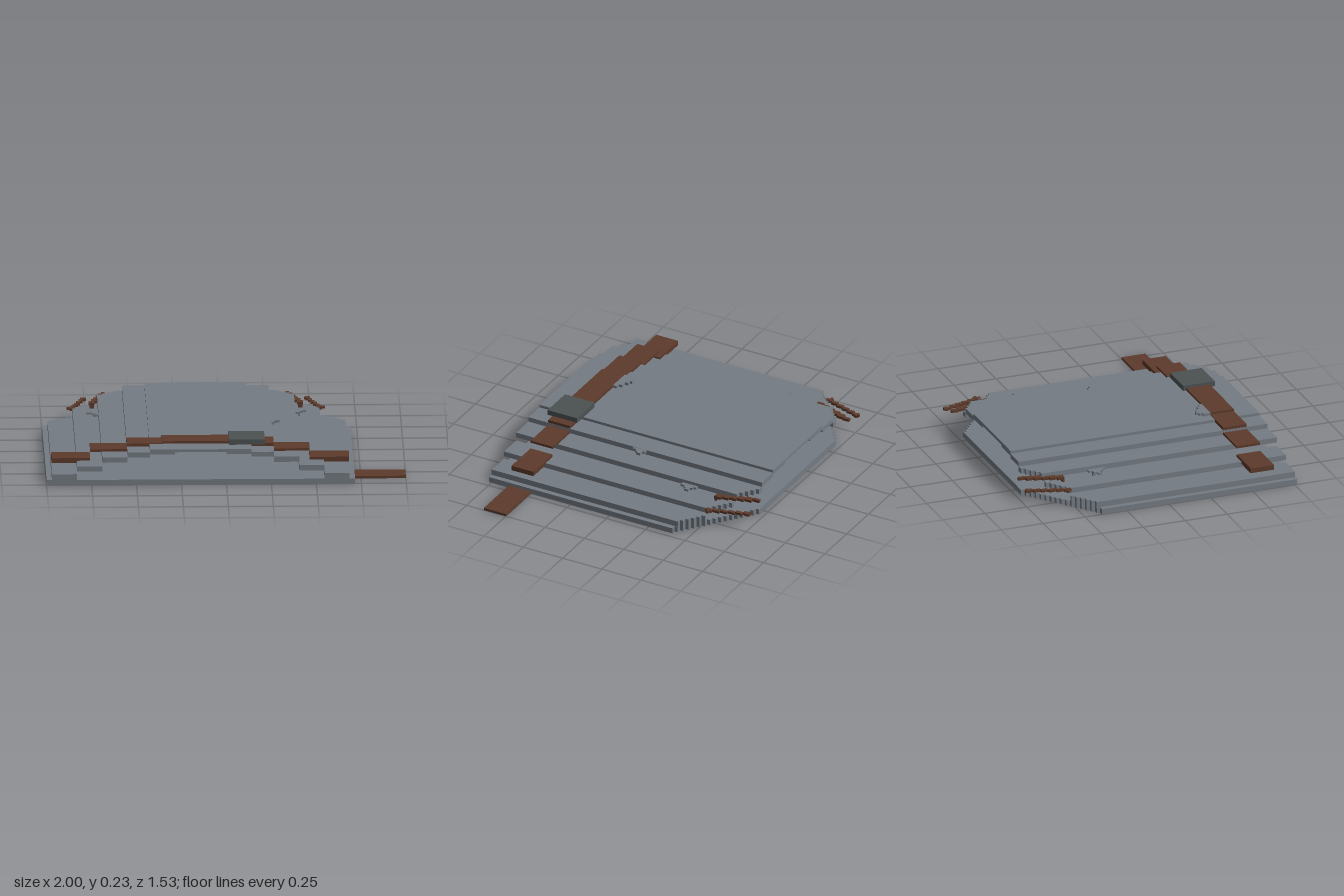
import * as THREE from 'three';

const CX = -0.1425, HALF = 0.8575, FRONT = 0.765;
const STEP_X = 0.026, STEP_Z = 0.02, STEPS = 16;

export function createModel() {
  const model = new THREE.Group();
  const steel = new THREE.MeshStandardMaterial({ name: 'steel grey', color: 0x747b83 });
  const leather = new THREE.MeshStandardMaterial({ name: 'brown leather', color: 0x5c3a2b });
  const iron = new THREE.MeshStandardMaterial({ name: 'dark iron', color: 0x4c5252 });

  const add = (name, geometry, material, parent = model) => {
    const mesh = new THREE.Mesh(geometry, material);
    mesh.name = name;
    parent.add(mesh);
  };
  // Box given by its limits on each axis
  const box = (name, x0, x1, y0, y1, z0, z1, material, parent) => {
    const g = new THREE.BoxGeometry(x1 - x0, y1 - y0, z1 - z0);
    g.translate((x0 + x1) / 2, (y0 + y1) / 2, (z0 + z1) / 2);
    add(name, g, material, parent);
  };
  const mirrorX = (x) => 2 * CX - x;

  // Plate whose back edge follows the stair-stepped corner cuts
  const backDepth = (x) => {
    const k = Math.floor((HALF - Math.abs(x - CX)) / STEP_X);
    return 0.4 + STEP_Z * Math.min(k, STEPS);
  };
  const plate = (name, x0, x1, y0, y1) => {
    const cuts = [x0, x1];
    for (let k = 1; k <= STEPS; k++) {
      for (const x of [CX - HALF + k * STEP_X, CX + HALF - k * STEP_X]) {
        if (x > x0 + 0.002 && x < x1 - 0.002) cuts.push(x);
      }
    }
    cuts.sort((a, b) => a - b);
    const shape = new THREE.Shape();
    shape.moveTo(x1, -FRONT);
    for (let i = cuts.length - 1; i > 0; i--) {
      const d = backDepth((cuts[i] + cuts[i - 1]) / 2);
      shape.lineTo(cuts[i], d);
      shape.lineTo(cuts[i - 1], d);
    }
    shape.lineTo(x0, -FRONT);
    shape.closePath();
    const g = new THREE.ExtrudeGeometry(shape, { depth: y1 - y0, bevelEnabled: false });
    g.rotateX(-Math.PI / 2);
    g.translate(0, y0, 0);
    add(name, g, steel);
  };

  // Layered plates: base, mirrored side steps, and crown
  plate('basePlate', CX - HALF, CX + HALF, 0, 0.032);
  const sideSteps = [
    ['sideRail', -0.97, -0.83, 0.032, 0.065],
    ['lowerPlate', -0.83, -0.69, 0.08, 0.11],
    ['middlePlate', -0.69, -0.55, 0.13, 0.16],
    ['upperPlate', -0.55, -0.425, 0.16, 0.188],
    ['crownSupport', -0.425, -0.285, 0.175, 0.188],
  ];
  for (const [name, x0, x1, y0, y1] of sideSteps) {
    plate(name + 'Right', x0, x1, y0, y1);
    plate(name + 'Left', mirrorX(x1), mirrorX(x0), y0, y1);
  }
  plate('crownPlate', -0.425, 0.14, 0.188, 0.204);

  // Strap segments stepping over the plates
  const strap = new THREE.Group();
  strap.name = 'strap';
  model.add(strap);
  const segments = [
    [-0.97, -0.755, 0.097, 0.125], [-0.755, -0.55, 0.161, 0.175],
    [-0.55, -0.35, 0.189, 0.206], [-0.355, 0.02, 0.205, 0.219],
    [0.14, 0.265, 0.189, 0.206], [0.265, 0.465, 0.161, 0.175],
    [0.465, 0.685, 0.097, 0.125], [0.715, 1, 0, 0.014],
  ];
  for (const [x0, x1, y0, y1] of segments) {
    box('strapSegment', x0, x1, y0, y1, 0.5, 0.64, leather, strap);
  }
  box('buckle', 0.015, 0.215, 0.205, 0.235, 0.483, 0.671, iron);

  // Jagged dent flakes, made of short rows: [x0, x1, z0, z1]
  const flake = (name, y0, y1, rows) => {
    const group = new THREE.Group();
    group.name = name;
    model.add(group);
    for (const [x0, x1, z0, z1] of rows) box('flakeRow', x0, x1, y0, y1, z0, z1, steel, group);
  };
  flake('flakeRight', 0.13, 0.142, [
    [-0.715, -0.69, -0.365, -0.345], [-0.74, -0.69, -0.345, -0.325],
    [-0.757, -0.69, -0.325, -0.305], [-0.725, -0.69, -0.305, -0.285],
    [-0.705, -0.69, -0.285, -0.265],
  ]);
  flake('flakeLeft', 0.13, 0.142, [
    [0.4, 0.425, -0.39, -0.375], [0.4, 0.44, -0.375, -0.36],
    [0.4, 0.465, -0.36, -0.335], [0.4, 0.445, -0.335, -0.32],
    [0.4, 0.43, -0.32, -0.295],
  ]);
  for (const x of [-0.712, mirrorX(-0.712)]) {
    box('flakeStem', x - 0.006, x + 0.006, 0.065, 0.13, -0.343, -0.328, steel);
  }
  flake('flakeMiddle', 0.172, 0.187, [
    [0.26, 0.285, 0.015, 0.03], [0.26, 0.31, 0.03, 0.055],
    [0.26, 0.295, 0.055, 0.07], [0.26, 0.28, 0.07, 0.095],
  ]);
  flake('flakeTop', 0.2, 0.219, [
    [-0.33, -0.31, 0.425, 0.438], [-0.345, -0.285, 0.438, 0.457],
    [-0.36, -0.25, 0.457, 0.477], [-0.36, -0.225, 0.477, 0.5],
  ]);

  // Rear thongs: short overlapping pieces in a staggered diagonal
  const thong = (name, xFront, xBack, width, y0, y1) => {
    const group = new THREE.Group();
    group.name = name;
    model.add(group);
    const n = 6, length = 0.245 / n;
    for (let i = 0; i < n; i++) {
      const x = xFront + (xBack - xFront) * (i / (n - 1));
      const z = -0.52 - i * length;
      const w = i === n - 1 ? 0.02 : width;
      box('thongPiece', x - w / 2, x + w / 2, y0, y1, z - length, z, leather, group);
    }
    return group;
  };
  for (const side of [1, -1]) {
    const at = (x) => (side === 1 ? x : mirrorX(x));
    const label = side === 1 ? 'Right' : 'Left';
    thong('innerThong' + label, at(-0.722), at(-0.655), 0.033, 0.127, 0.142);
    const outer = thong('outerThong' + label, at(-0.834), at(-0.767), 0.021, 0.097, 0.111);
    // Small knots at the ends and the upright joining the thong levels
    const f = at(-0.84), b = at(-0.765);
    box('thongKnot', f - 0.02, f + 0.02, 0.097, 0.111, -0.55, -0.537, leather, outer);
    box('thongKnot', b - 0.016, b + 0.016, 0.097, 0.111, -0.757, -0.742, leather, outer);
    const u = at(-0.722);
    box('thongUpright', u - 0.012, u + 0.012, 0.1, 0.13, -0.532, -0.52, leather);
  }
  return model;
}
